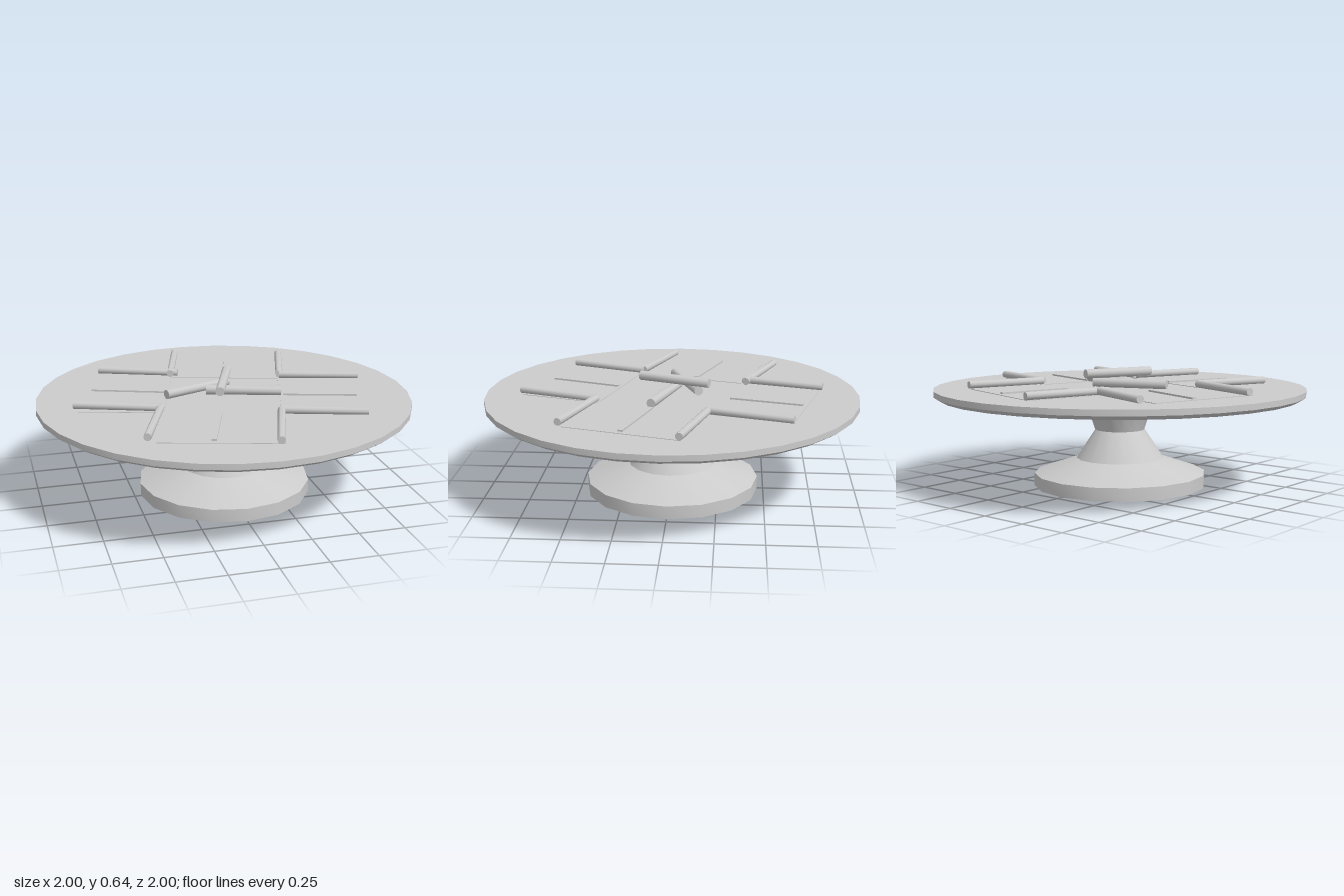
import * as THREE from 'three';
import { toCreasedNormals } from 'three/addons/utils/BufferGeometryUtils.js';

const material = new THREE.MeshStandardMaterial({ color: 0xcccccc });

function addMesh(parent, name, geometry) {
  const mesh = new THREE.Mesh(geometry, material);
  mesh.name = name;
  parent.add(mesh);
  return mesh;
}

// Turned part from [radius, height] pairs, listed from bottom to top
function turned(parent, name, profile, sides) {
  const points = profile.map(([r, y]) => new THREE.Vector2(r, y));
  return addMesh(parent, name, toCreasedNormals(new THREE.LatheGeometry(points, sides), 0.45));
}

// Places a mesh whose long axis is local x between two points on the table
function layBetween(mesh, [x1, z1, x2, z2], y) {
  mesh.position.set((x1 + x2) / 2, y, (z1 + z2) / 2);
  mesh.rotation.y = -Math.atan2(z2 - z1, x2 - x1);
}

const lengthOf = ([x1, z1, x2, z2]) => Math.hypot(x2 - x1, z2 - z1);

function rod(parent, name, ends, y, radius) {
  const geometry = new THREE.CylinderGeometry(radius, radius, lengthOf(ends), 10);
  geometry.rotateZ(Math.PI / 2);
  layBetween(addMesh(parent, name, toCreasedNormals(geometry, 0.7)), ends, y);
}

export function createModel() {
  const model = new THREE.Group();
  model.name = 'roundTable';
  const topY = 0.538;

  // Pedestal: stepped foot, narrow waist and flared neck
  turned(model, 'pedestal', [
    [0, 0], [0.467, 0], [0.467, 0.07], [0.237, 0.15],
    [0.135, 0.305], [0.172, 0.415], [0.23, 0.495],
  ], 16);

  // Round top with a bevelled lower edge
  turned(model, 'tableTop', [
    [0, 0.488], [0.97, 0.488], [1, 0.508], [1, topY], [0, topY],
  ], 32);

  // Four flat panels forming a cross, turned slightly on the table
  const cross = new THREE.Group();
  cross.name = 'crossPanels';
  cross.rotation.y = -0.28;
  model.add(cross);
  for (let i = 0; i < 4; i++) {
    const arm = new THREE.Group();
    arm.name = 'crossArm';
    arm.rotation.y = i * Math.PI / 2;
    cross.add(arm);
    addMesh(arm, 'panel', new THREE.BoxGeometry(0.44, 0.004, 0.61))
      .position.set(0.52, topY + 0.001, 0);
  }

  // Thin strip along the middle of each panel
  for (const ends of [
    [0.2, -0.69, 0.1, -0.315], [-0.675, -0.25, -0.3, -0.115],
    [0.305, 0.09, 0.685, 0.205], [-0.1, 0.3, -0.23, 0.675],
  ]) {
    const strip = addMesh(model, 'strip', new THREE.BoxGeometry(lengthOf(ends), 0.012, 0.024));
    layBetween(strip, ends, topY + 0.006);
  }

  // Pairs of rods edging the corners of the cross
  for (const ends of [
    [-0.09, -0.81, -0.21, -0.38], [-0.59, -0.56, -0.165, -0.395],
    [0.38, -0.205, 0.51, -0.63], [0.38, -0.205, 0.805, -0.083],
    [0.2, 0.385, 0.62, 0.517], [0.2, 0.385, 0.062, 0.805],
    [-0.385, 0.187, -0.81, 0.032], [-0.385, 0.187, -0.535, 0.6],
  ]) rod(model, 'cornerRod', ends, 0.562, 0.02);

  // Three loose sticks piled at the centre
  rod(model, 'lowerStick', [-0.315, 0.005, 0.06, -0.145], 0.568, 0.025);
  rod(model, 'lowerStick', [-0.09, -0.028, 0.295, 0.09], 0.565, 0.025);
  rod(model, 'upperStick', [0.07, -0.2, -0.068, 0.175], 0.615, 0.025);

  return model;
}
